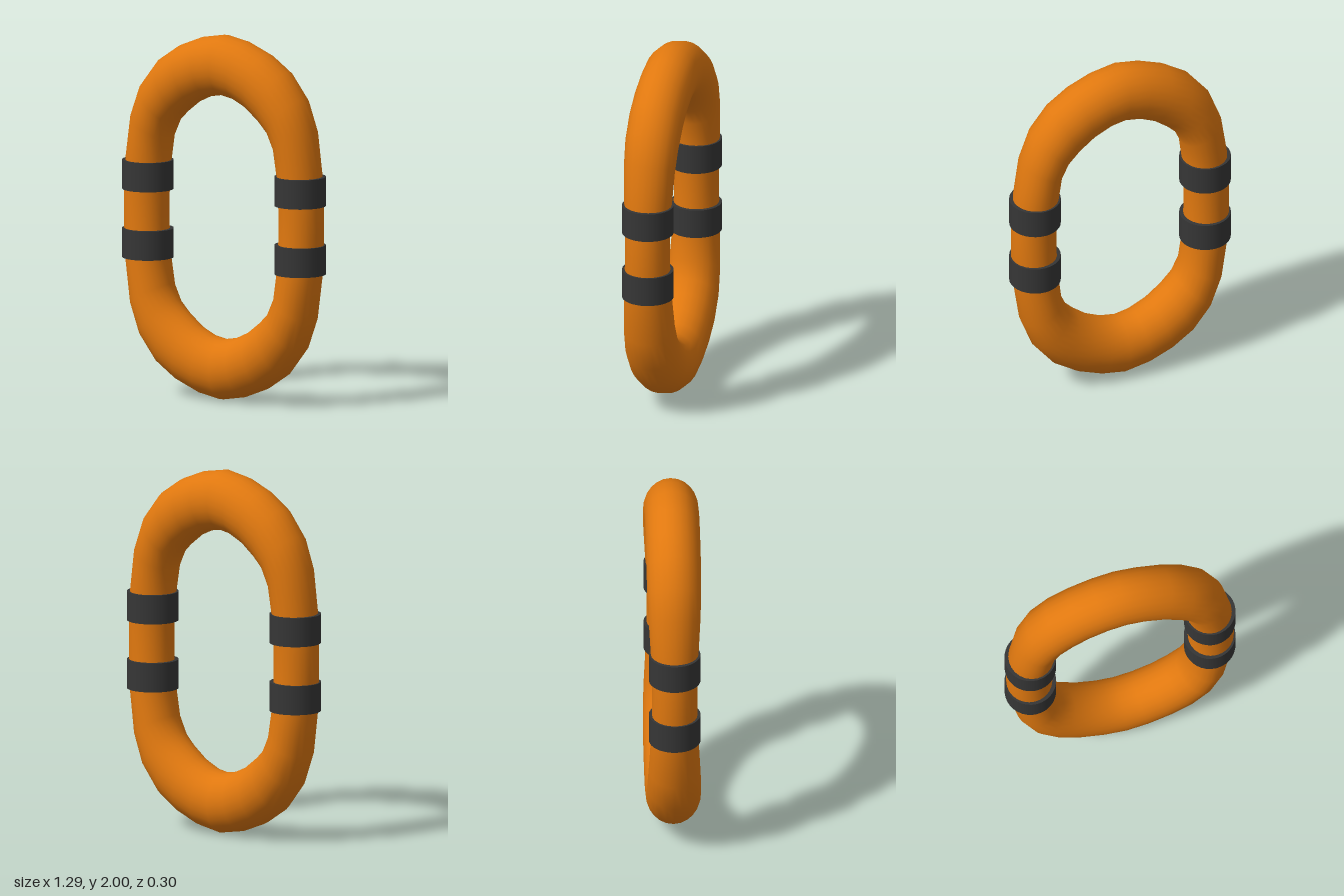
import * as THREE from 'three';

// Quarter of the loop, top to side: centre x, y, in-plane half width x, y, half depth
const QUARTER = [
  [0, 1.835, 0, 0.165, 0.148],
  [0.113, 1.815, 0.028, 0.16, 0.148],
  [0.23, 1.765, 0.05, 0.155, 0.148],
  [0.335, 1.69, 0.075, 0.143, 0.148],
  [0.42, 1.59, 0.1, 0.103, 0.146],
  [0.472, 1.462, 0.113, 0.06, 0.14],
  [0.498, 1.28, 0.123, 0.01, 0.13],
  [0.51, 1.09, 0.125, 0, 0.123],
];
const SIDES = 24;

// Mirror the quarter into a full closed loop of stations
function loopStations() {
  const flipY = ([x, y, u, v, d]) => [x, 2 - y, u, -v, d];
  const flipX = ([x, y, u, v, d]) => [-x, y, -u, v, d];
  const right = [...QUARTER, ...QUARTER.map(flipY).reverse()];
  return [...right, ...right.slice(1, -1).map(flipX).reverse()];
}

// Sweep an elliptical section around the loop
function ringGeometry() {
  const stations = loopStations();
  const positions = [], index = [];
  stations.forEach(([x, y, u, v, d], i) => {
    const next = (i + 1) % stations.length;
    for (let j = 0; j < SIDES; j++) {
      const t = (j / SIDES) * Math.PI * 2, c = Math.cos(t);
      positions.push(x + u * c, y + v * c, d * Math.sin(t));
      const k = (j + 1) % SIDES;
      const a = i * SIDES + j, b = i * SIDES + k;
      const e = next * SIDES + j, f = next * SIDES + k;
      index.push(a, b, e, b, f, e);
    }
  });
  const geometry = new THREE.BufferGeometry();
  geometry.setAttribute('position', new THREE.Float32BufferAttribute(positions, 3));
  geometry.setIndex(index);
  geometry.computeVertexNormals();
  return geometry;
}

export function createModel() {
  const group = new THREE.Group();
  group.name = 'ringBuoy';
  const orange = new THREE.MeshStandardMaterial({ color: 0xe0780f });
  orange.name = 'orange';
  const charcoal = new THREE.MeshStandardMaterial({ color: 0x363636 });
  charcoal.name = 'charcoal';

  const ring = new THREE.Mesh(ringGeometry(), orange);
  ring.name = 'ring';
  group.add(ring);

  // Two dark bands on each straight side
  const bandGeometry = new THREE.CylinderGeometry(0.14, 0.14, 0.16, 32);
  for (const [side, sx] of [['left', 1], ['right', -1]]) {
    for (const [level, y] of [['Upper', 1.19], ['Lower', 0.815]]) {
      const band = new THREE.Mesh(bandGeometry, charcoal);
      band.name = `${side}${level}Band`;
      band.position.set(sx * 0.503, y, 0);
      group.add(band);
    }
  }
  return group;
}
